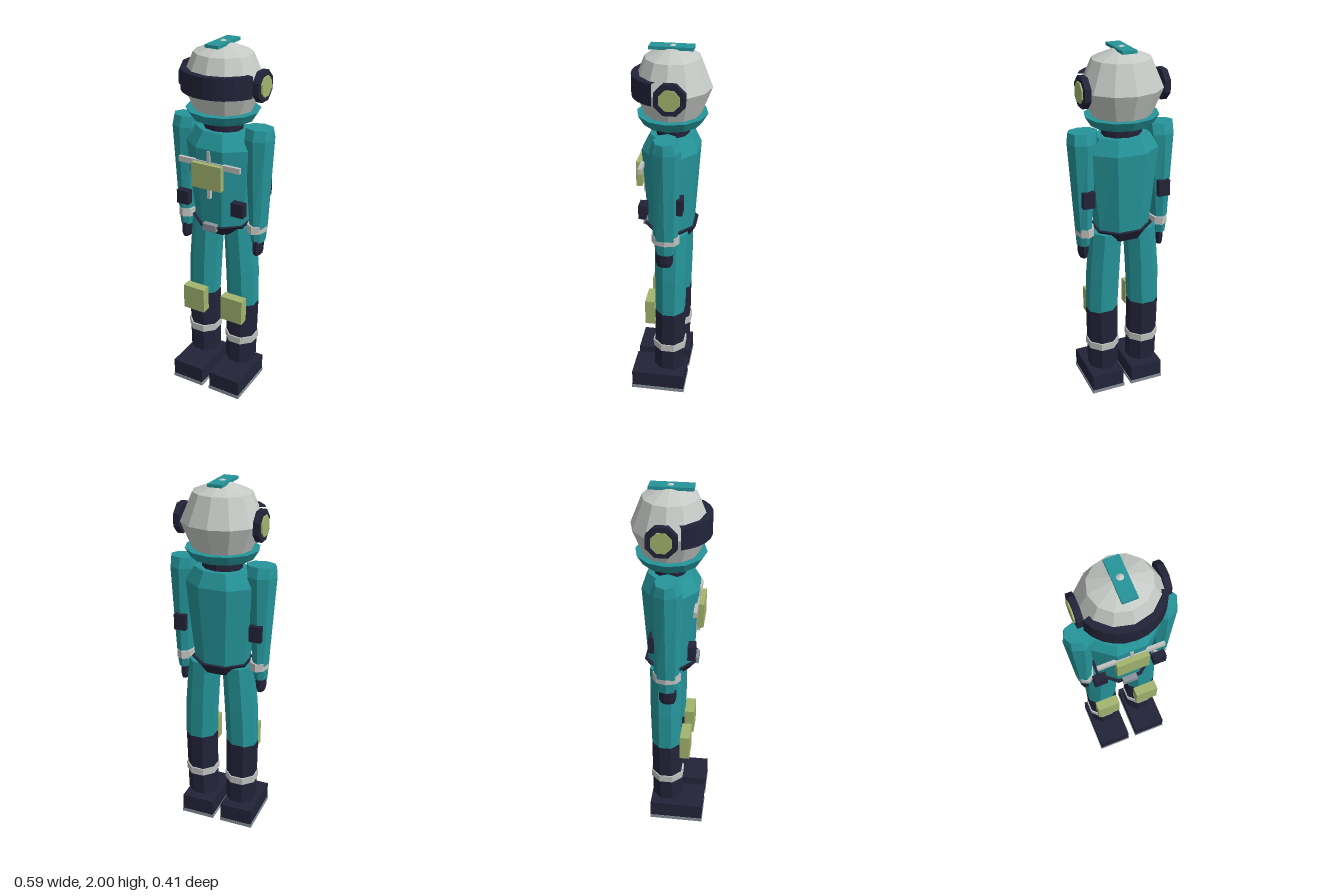
import * as THREE from 'three';

const mat = (name, color) => {
  const m = new THREE.MeshStandardMaterial({ color });
  m.name = name;
  return m;
};

export function createModel() {
  const teal = mat('teal suit', 0x25959a);
  const navy = mat('navy rubber', 0x23233a);
  const shell = mat('pale shell', 0xc6cac6);
  const silver = mat('silver band', 0xc0c2c0);
  const green = mat('soft green', 0xa2b46e);
  const steel = mat('steel grey', 0x88929a);
  const group = new THREE.Group();

  // faceted mesh
  const add = (name, geo, material, parent = group) => {
    const g = geo.index ? geo.toNonIndexed() : geo;
    g.computeVertexNormals();
    const mesh = new THREE.Mesh(g, material);
    mesh.name = name;
    parent.add(mesh);
    return mesh;
  };

  // box given by its min and max on each axis
  const box = (name, x0, x1, y0, y1, z0, z1, material) => add(name,
    new THREE.BoxGeometry(x1 - x0, y1 - y0, z1 - z0)
      .translate((x0 + x1) / 2, (y0 + y1) / 2, (z0 + z1) / 2), material);

  // closed loft through elliptical rings [y, cx, cz, rx, rz], bottom to top
  const loft = (name, rings, material, sides = 8, phase = 0) => {
    const pos = [], idx = [], n = sides;
    for (const [y, cx, cz, rx, rz] of rings) {
      for (let i = 0; i < n; i++) {
        const a = phase + (i / n) * Math.PI * 2;
        pos.push(cx + Math.sin(a) * rx, y, cz + Math.cos(a) * rz);
      }
    }
    for (let r = 0; r < rings.length - 1; r++) {
      for (let i = 0; i < n; i++) {
        const a = r * n + i, b = r * n + (i + 1) % n;
        idx.push(a, b, b + n, a, b + n, a + n);
      }
    }
    const top = (rings.length - 1) * n;
    for (let i = 1; i < n - 1; i++) {
      idx.push(0, i + 1, i, top, top + i, top + i + 1);
    }
    const g = new THREE.BufferGeometry();
    g.setAttribute('position', new THREE.Float32BufferAttribute(pos, 3));
    g.setIndex(idx);
    return add(name, g, material);
  };

  const flat = Math.PI / 8; // turns an octagon flat side forward

  // helmet
  add('helmet', new THREE.SphereGeometry(1, 12, 4).rotateY(Math.PI / 2)
    .scale(0.217, 0.207, 0.2).translate(0, 1.793, -0.005), shell);
  const arc = 1.22;
  add('visor', new THREE.CylinderGeometry(1, 1, 0.11, 10, 1, false, -arc, arc * 2)
    .scale(0.218, 1, 0.204).translate(0, 1.805, -0.002), navy);
  box('helmetCrest', -0.038, 0.038, 1.977, 1.993, -0.11, 0.11, teal);

  // collar and neck
  loft('collar', [[1.605, 0, -0.003, 0.165, 0.152], [1.655, 0, -0.003, 0.197, 0.182]], teal, 12);
  loft('neck', [[1.53, 0, -0.005, 0.108, 0.088], [1.62, 0, -0.005, 0.108, 0.088]], navy, 10);

  // torso and belt
  const wide = 1 / Math.cos(flat); // converts half width to corner radius
  loft('torso', [
    [1.02, 0, 0, 0.14 * wide, 0.118 * wide],
    [1.47, 0, 0, 0.188 * wide, 0.145 * wide],
    [1.55, 0, -0.005, 0.14 * wide, 0.108 * wide],
  ], teal, 8, flat);
  loft('belt', [
    [0.975, 0, -0.005, 0.115 * wide, 0.1 * wide],
    [1.035, 0, 0, 0.16 * wide, 0.138 * wide],
  ], navy, 8, flat);
  box('buckle', -0.04, 0.04, 1.01, 1.048, 0.12, 0.15, steel);

  // chest harness
  box('chestStrap', -0.18, 0.18, 1.375, 1.405, 0.13, 0.148, silver);
  box('chestZip', -0.009, 0.009, 1.2, 1.465, 0.115, 0.15, silver);
  box('chestPanel', -0.087, 0.087, 1.265, 1.4, 0.143, 0.175, green);

  for (const s of [1, -1]) {
    const side = s > 0 ? 'left' : 'right';
    const mbox = (name, x0, x1, ...rest) =>
      box(side + name, Math.min(s * x0, s * x1), Math.max(s * x0, s * x1), ...rest);
    const mloft = (name, rings, material, phase = 0) =>
      loft(side + name, rings.map(([y, x, ...r]) => [y, s * x, ...r]), material, 8, phase);

    // earpiece
    const disc = (name, r, x0, x1, m) => add(side + name,
      new THREE.CylinderGeometry(r, r, x1 - x0, 8).rotateY(flat).rotateZ(Math.PI / 2)
        .translate(s * (x0 + x1) / 2, 1.792, -0.022), m);
    disc('Earpiece', 0.083, 0.195, 0.228, navy);
    disc('EarpieceCap', 0.055, 0.22, 0.236, green);

    // arm, cuff and glove
    mloft('Arm', [
      [0.95, 0.222, 0.002, 0.036, 0.05],
      [1.04, 0.22, 0, 0.044, 0.066],
      [1.53, 0.215, 0, 0.082, 0.08],
      [1.585, 0.212, 0, 0.08, 0.06],
    ], teal);
    mloft('CuffBand', [[1.01, 0.213, 0, 0.051, 0.074], [1.055, 0.213, 0, 0.051, 0.074]], silver);
    mloft('Glove', [
      [0.87, 0.223, 0.006, 0.02, 0.036],
      [0.895, 0.222, 0.006, 0.026, 0.048],
      [0.96, 0.222, 0.006, 0.028, 0.05],
    ], navy, flat);

    // pouches on the waist and behind the arm
    mbox('WaistPouch', 0.13, 0.2, 1.13, 1.207, 0.105, 0.145, navy);
    mbox('ArmPouch', 0.18, 0.246, 1.19, 1.278, -0.09, -0.06, navy);

    // leg
    mloft('Thigh', [
      [0.535, 0.125, -0.012, 0.09, 0.085],
      [0.75, 0.117, -0.014, 0.092, 0.09],
      [1.02, 0.098, -0.015, 0.088, 0.092],
    ], teal, flat);
    mloft('Shin', [[0.15, 0.119, -0.005, 0.088, 0.09], [0.54, 0.124, -0.012, 0.09, 0.086]], navy, flat);
    mloft('ShinBand', [[0.285, 0.122, -0.008, 0.095, 0.097], [0.327, 0.122, -0.008, 0.095, 0.097]], silver, flat);
    mbox('KneePad', 0.055, 0.187, 0.455, 0.602, 0.068, 0.122, green);

    // boot
    mbox('Boot', 0.025, 0.215, 0.02, 0.115, -0.1, 0.202, navy);
    mbox('Sole', 0.022, 0.218, 0, 0.02, -0.102, 0.205, steel);
  }
  return group;
}
